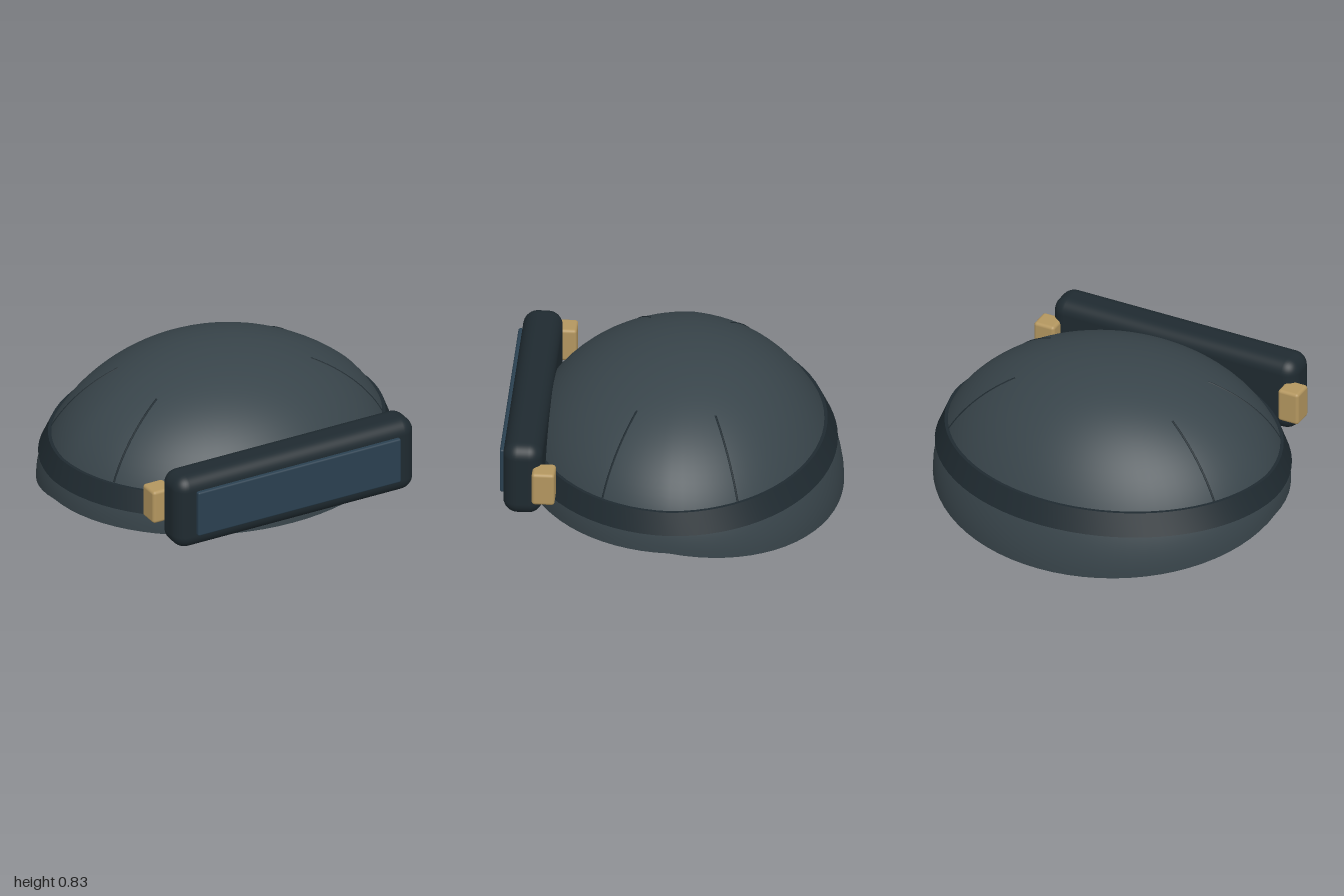
import * as THREE from 'three';
import { mergeVertices } from 'three/addons/utils/BufferGeometryUtils.js';
import { RoundedBoxGeometry } from 'three/addons/geometries/RoundedBoxGeometry.js';

const material = (color, side = THREE.FrontSide) =>
  new THREE.MeshStandardMaterial({ color, side });

const INNER = 0.975;

// Maps a unit hemisphere point to the helmet shell; the rear rim drops towards the nape.
function shellPoint(x, h, z) {
  const depth = z * 0.87;
  const drop = 0.168 * Math.max(0, -depth) * (1 - h * h);
  return new THREE.Vector3(x * 0.995, 0.147 + h * 0.688 - drop, depth - 0.04);
}

// Shell point at a given angle and normalised height
function ringPoint(angle, h) {
  const r = Math.sqrt(1 - h * h);
  return shellPoint(r * Math.cos(angle), h, r * Math.sin(angle));
}

// Shell point at a given angle and world height, pushed outwards by an offset
function levelPoint(angle, y, offset) {
  let low = 0, high = 1;
  for (let i = 0; i < 30; i++) {
    const mid = (low + high) / 2;
    if (ringPoint(angle, mid).y < y) low = mid;
    else high = mid;
  }
  const p = ringPoint(angle, low);
  p.x += offset * Math.cos(angle);
  p.z += offset * Math.sin(angle);
  return p;
}

function domeGeometry(size) {
  let geo = new THREE.SphereGeometry(size, 72, 28, 0, Math.PI * 2, 0, Math.PI / 2);
  const pos = geo.attributes.position;
  for (let i = 0; i < pos.count; i++) {
    const p = shellPoint(pos.getX(i), pos.getY(i), pos.getZ(i));
    pos.setXYZ(i, p.x, p.y, p.z);
  }
  geo.deleteAttribute('normal');
  geo.deleteAttribute('uv');
  geo = mergeVertices(geo, 1e-5);
  geo.computeVertexNormals();
  return geo;
}

// Closed strip between two rings, each given as a function of the angle
function stripGeometry(upper, lower, count = 72) {
  const points = [];
  const index = [];
  for (let i = 0; i < count; i++) {
    const angle = (i / count) * Math.PI * 2;
    points.push(upper(angle), lower(angle));
    const a = i * 2, b = ((i + 1) % count) * 2;
    index.push(a, b, a + 1, b, b + 1, a + 1);
  }
  const geo = new THREE.BufferGeometry().setFromPoints(points);
  geo.setIndex(index);
  geo.computeVertexNormals();
  return geo;
}

export function createModel() {
  const group = new THREE.Group();
  const shellColor = 0x38444a;
  const darkColor = 0x1f2a30;

  const add = (name, geo, mat, x = 0, y = 0, z = 0) => {
    const mesh = new THREE.Mesh(geo, mat);
    mesh.name = name;
    mesh.position.set(x, y, z);
    group.add(mesh);
  };

  // Dome with a thin wall and dark lining
  add('shell', domeGeometry(1), material(shellColor));
  add('lining', domeGeometry(INNER), material(0x293236, THREE.BackSide));
  add('rim', stripGeometry(
    (a) => shellPoint(Math.cos(a), 0, Math.sin(a)),
    (a) => shellPoint(INNER * Math.cos(a), 0, INNER * Math.sin(a))
  ), material(shellColor, THREE.DoubleSide));

  // Band hugging the shell: outer face, then its top and bottom edges
  const bandMaterial = material(darkColor, THREE.DoubleSide);
  const ring = (y, offset) => (a) => levelPoint(a, y, offset);
  add('band', stripGeometry(ring(0.38, 0.018), ring(0.26, 0.018)), bandMaterial);
  add('bandTopEdge', stripGeometry(ring(0.38, -0.004), ring(0.38, 0.018)), bandMaterial);
  add('bandBottomEdge', stripGeometry(ring(0.26, 0.018), ring(0.26, -0.004)), bandMaterial);

  // Four radial seams rising from the band, mostly sunk into the shell
  const dark = material(darkColor);
  for (const sx of [-1, 1]) {
    for (const sz of [-1, 1]) {
      const points = [];
      for (let i = 0; i <= 10; i++) {
        const r = THREE.MathUtils.lerp(0.94, 0.54, i / 10);
        const a = THREE.MathUtils.degToRad(27);
        const p = shellPoint(sx * r * Math.cos(a), Math.sqrt(1 - r * r), sz * r * Math.sin(a));
        points.push(p.multiplyScalar(0.996));
      }
      const side = sx > 0 ? 'Left' : 'Right';
      add((sz > 0 ? 'front' : 'rear') + side + 'Seam',
        new THREE.TubeGeometry(new THREE.CatmullRomCurve3(points), 24, 0.007, 6), dark);
    }
  }

  // Visor housing and its front window
  add('visorHousing', new RoundedBoxGeometry(1.485, 0.435, 0.215, 5, 0.08), dark, 0, 0.395, 0.777);
  add('visorWindow', new RoundedBoxGeometry(1.26, 0.267, 0.05, 2, 0.01),
    material(0x2a4050), 0, 0.398, 0.882);

  // Side clips holding the visor
  const tan = material(0xb3965f);
  for (const s of [-1, 1]) {
    add(s > 0 ? 'leftClip' : 'rightClip', new RoundedBoxGeometry(0.125, 0.195, 0.125, 3, 0.018),
      tan, s * 0.743, 0.395, 0.658);
  }

  return group;
}
